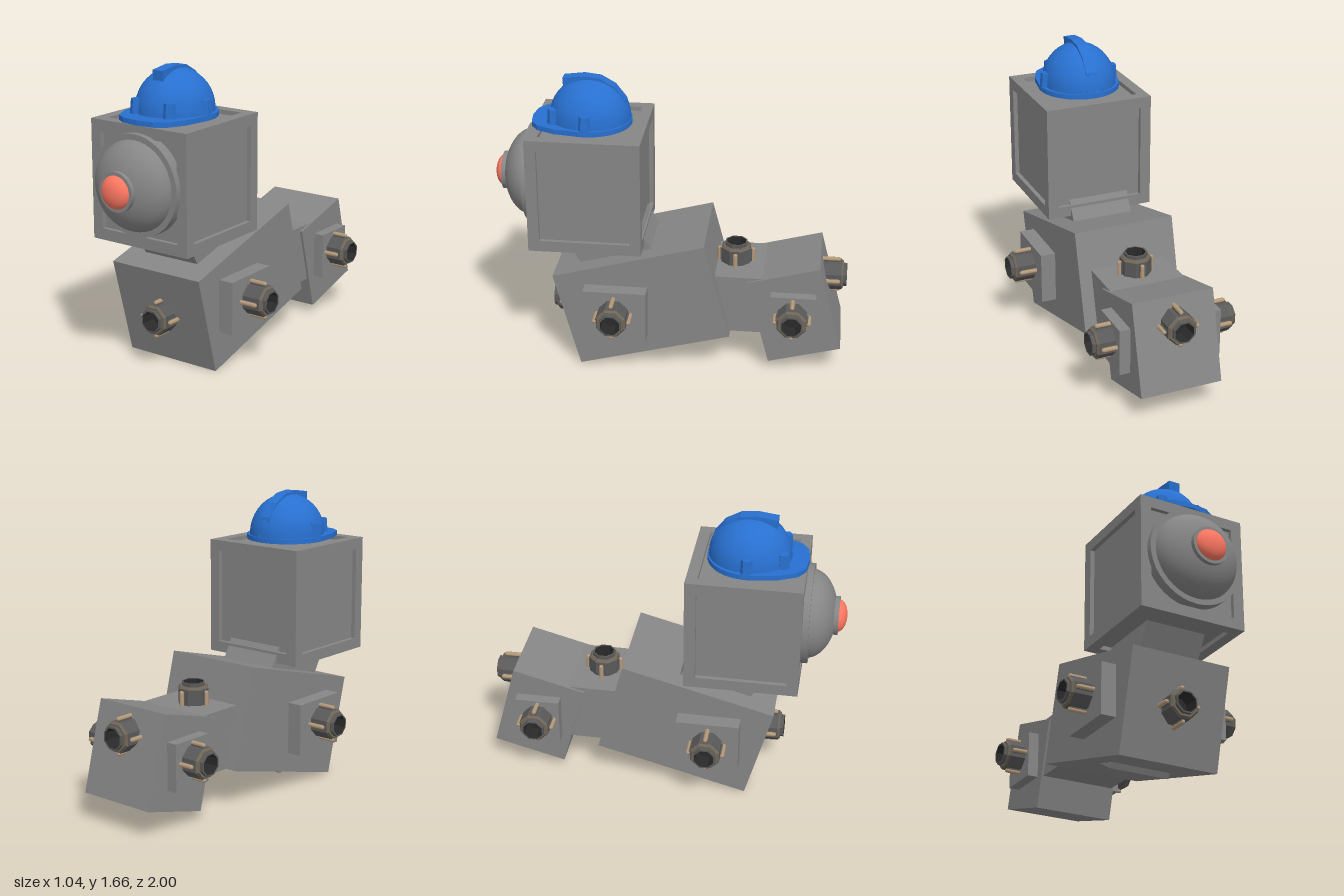
import * as THREE from 'three';

const mat = (color, extra = {}) => new THREE.MeshStandardMaterial({ color, ...extra });
const grey = mat(0x868686);
const dark = mat(0x5a5a5a, { flatShading: true });
const bezelTone = mat(0x6f6658, { flatShading: true });
const black = mat(0x2a2a2a, { flatShading: true });
const tan = mat(0xb59a7a);
const blue = mat(0x2870d0);
const blueFlat = mat(0x2870d0, { flatShading: true });
const red = mat(0xff7862);

const points = list => list.map(p => new THREE.Vector2(...p));

function add(parent, name, geometry, material, x = 0, y = 0, z = 0) {
  const mesh = new THREE.Mesh(geometry, material);
  mesh.name = name;
  mesh.position.set(x, y, z);
  parent.add(mesh);
  return mesh;
}

function box(parent, name, size, pos, tilt = 0) {
  const mesh = add(parent, name, new THREE.BoxGeometry(...size), grey, ...pos);
  mesh.rotation.x = tilt;
}

// Hollow octagonal socket with four clamp rods on rails, pointing along dir
function socket(parent, name, pos, dir) {
  const g = new THREE.Group();
  g.name = name;
  const octagon = profile => new THREE.LatheGeometry(points(profile), 8).rotateY(Math.PI / 8);
  add(g, 'socketBody', octagon([[0.088, -0.04], [0.088, 0.108]]), dark);
  add(g, 'socketBezel', octagon([[0.088, 0.108], [0.078, 0.12], [0.066, 0.12]]), bezelTone);
  add(g, 'socketLip', octagon([[0.066, 0.12], [0.066, 0.14], [0.057, 0.14]]), dark);
  add(g, 'socketBore', octagon([[0.057, 0.14], [0.054, 0.05], [0, 0.05]]), black);
  for (let i = 0; i < 4; i++) {
    const clamp = new THREE.Group();
    clamp.name = 'clamp';
    add(clamp, 'clampRail', new THREE.BoxGeometry(0.03, 0.12, 0.022), dark, 0.08, 0.035, 0);
    add(clamp, 'clampRod', new THREE.CapsuleGeometry(0.013, 0.1, 3, 8), tan, 0.095, 0.04, 0);
    clamp.rotation.y = i * Math.PI / 2;
    g.add(clamp);
  }
  g.position.set(...pos);
  g.quaternion.setFromUnitVectors(new THREE.Vector3(0, 1, 0), new THREE.Vector3(...dir));
  parent.add(g);
}

// Cube head: inner block with twelve raised edge beams
function makeHead() {
  const head = new THREE.Group();
  head.name = 'head';
  const [w, h, d] = [0.63, 0.66, 0.63], b = 0.063, inset = 0.025;
  box(head, 'headCore', [w - 2 * inset, h - 2 * inset, d - 2 * inset], [0, 0, 0]);
  for (const i of [-1, 1]) for (const j of [-1, 1]) {
    const x = (w - b) / 2, y = (h - b) / 2, z = (d - b) / 2;
    box(head, 'edgeBeamX', [w, b, b], [0, i * y, j * z]);
    box(head, 'edgeBeamY', [b, h - 2 * b, b], [i * x, 0, j * z]);
    box(head, 'edgeBeamZ', [b, b, d - 2 * b], [i * x, j * y, 0]);
  }
  head.position.set(0, 1.05, 0.455);
  return head;
}

// Round muzzle with red nose, built along y and turned to face +z
function makeMuzzle() {
  const g = new THREE.Group();
  g.name = 'muzzle';
  add(g, 'muzzleFlange', new THREE.CylinderGeometry(0.277, 0.277, 0.075, 40), grey, 0, 0.767, 0);
  const hemisphere = new THREE.SphereGeometry(1, 40, 14, 0, Math.PI * 2, 0, Math.PI / 2);
  add(g, 'muzzleDome', hemisphere, grey, 0, 0.79, 0).scale.set(0.247, 0.155, 0.247);
  add(g, 'noseRing', new THREE.CylinderGeometry(0.107, 0.107, 0.06, 32), grey, 0, 0.925, 0);
  add(g, 'nose', hemisphere, red, 0, 0.95, 0).scale.set(0.09, 0.05, 0.09);
  g.rotation.x = Math.PI / 2;
  g.position.y = 1.066;
  return g;
}

// Hard hat: shell, peaked brim, centre ridge and side lugs
function makeHelmet() {
  const g = new THREE.Group();
  g.name = 'helmet';
  const profile = [[1, 0]];
  for (let i = 0; i <= 10; i++) {
    const a = i / 10 * Math.PI / 2;
    profile.push([Math.cos(a), 0.035 + 0.225 * Math.sin(a)]);
  }
  const shell = new THREE.LatheGeometry(points(profile), 24);
  add(g, 'helmetShell', shell, blue).scale.set(0.21, 1, 0.226);

  const brim = new THREE.Shape(points([[0, 0.322], [-0.1, 0.31], [-0.16, 0.27], [-0.207, 0.17], [-0.232, 0.02]]));
  brim.absarc(0, 0, 0.232, Math.PI, Math.PI * 2, false);
  for (const [x, y] of [[0.232, 0.02], [0.207, 0.17], [0.16, 0.27], [0.1, 0.31]]) brim.lineTo(x, y);
  const brimGeo = new THREE.ExtrudeGeometry(brim, { depth: 0.028, bevelEnabled: false, curveSegments: 12 });
  brimGeo.rotateX(Math.PI / 2);
  add(g, 'helmetBrim', brimGeo, blueFlat, 0, 0.03, 0);

  const ridge = new THREE.Shape(points([[0.14, 0.17], [0.145, 0.262], [0.03, 0.277], [-0.06, 0.267],
    [-0.14, 0.222], [-0.2, 0.145], [-0.228, 0.02], [-0.18, 0.02], [0, 0.14]]));
  const ridgeGeo = new THREE.ExtrudeGeometry(ridge, { depth: 0.066, bevelEnabled: false });
  ridgeGeo.rotateY(-Math.PI / 2);
  add(g, 'helmetRidge', ridgeGeo, blueFlat, 0.033, 0, 0);

  for (const s of [-1, 1]) for (const angle of [0.58, Math.PI / 2]) {
    const lug = new THREE.CylinderGeometry(0.03, 0.038, 0.095, 6);
    add(g, 'helmetLug', lug, blueFlat, s * 0.2 * Math.sin(angle), 0.062, 0.222 * Math.cos(angle));
  }
  g.position.set(0, 1.38, 0.455);
  return g;
}

export function createModel() {
  const model = new THREE.Group();
  model.name = 'boxRobotDog';
  const tilt = Math.PI / 12;

  // Body blocks
  box(model, 'chest', [0.587, 0.575, 0.881], [0, 0.392, 0.145], tilt);
  box(model, 'waist', [0.44, 0.343, 0.5], [0, 0.398, -0.4]);
  box(model, 'hips', [0.467, 0.515, 0.42], [0, 0.351, -0.713], tilt);
  box(model, 'neck', [0.357, 0.86, 0.402], [0, 0.521, 0.23], Math.PI / 6);

  // Shoulder and hip plates with their sockets
  for (const s of [-1, 1]) {
    box(model, 'shoulderPlate', [0.15, 0.298, 0.355], [s * 0.305, 0.366, 0.285]);
    socket(model, 'shoulderSocket', [s * 0.38, 0.384, 0.288], [s, 0, 0]);
    box(model, 'hipPlate', [0.13, 0.265, 0.253], [s * 0.23, 0.366, -0.707]);
    socket(model, 'hipSocket', [s * 0.28, 0.384, -0.705], [s, 0, 0]);
  }

  // Chest, back and tail sockets
  socket(model, 'chestSocket', [0, 0.28, 0.549], [0, 0, 1]);
  socket(model, 'backSocket', [0, 0.55, -0.368], [0, 1, 0]);
  socket(model, 'tailSocket', [0, 0.511, -0.86], [0, 0, -1]);

  model.add(makeHead(), makeMuzzle(), makeHelmet());
  return model;
}
